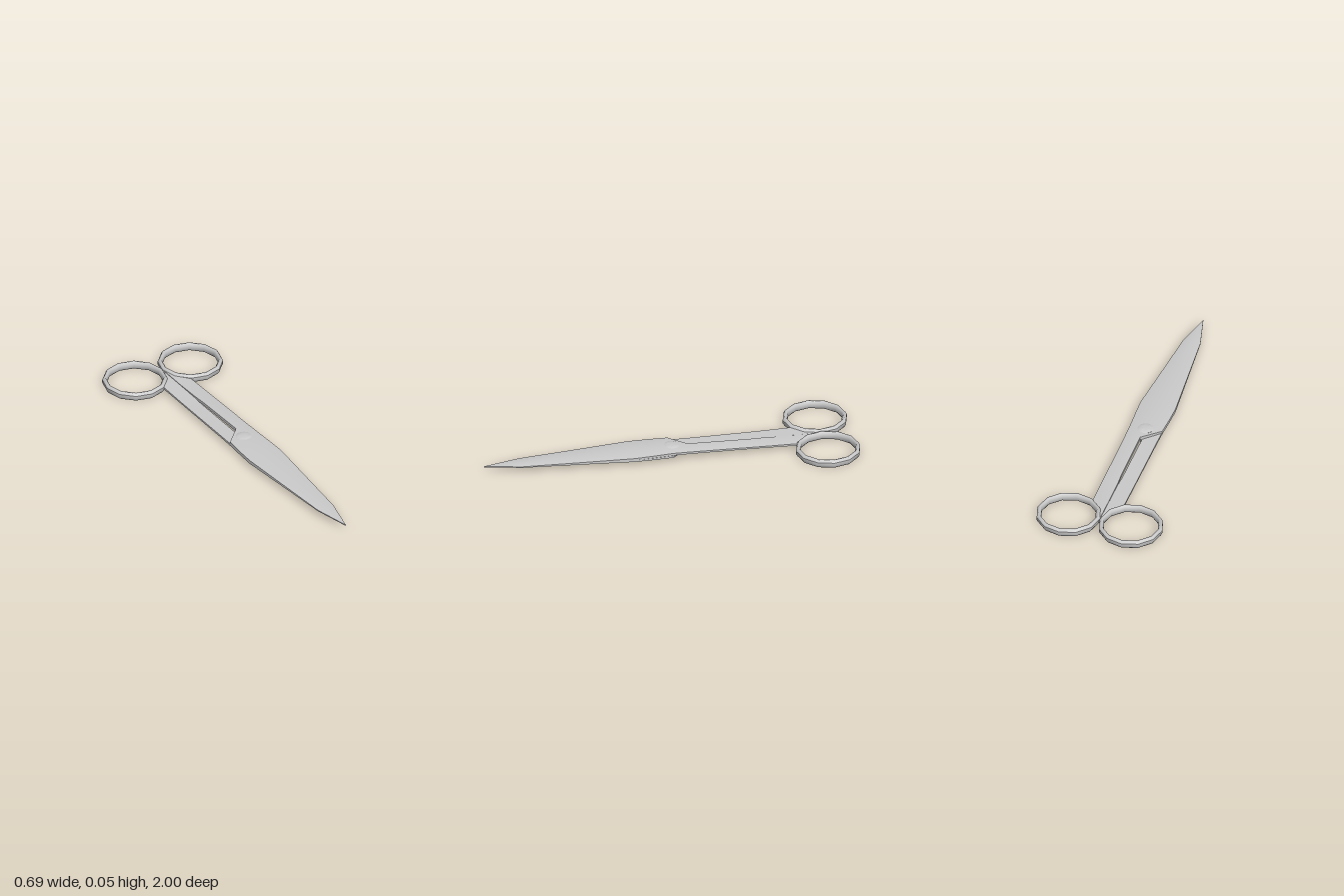
import * as THREE from 'three';
import { toCreasedNormals } from 'three/addons/utils/BufferGeometryUtils.js';

const material = new THREE.MeshStandardMaterial({ color: 0xcccccc });

// Cross-sections of one half from tip to ring:
// z, inner x, outer x, half width of the crown, mid height, base, edge height, crown height
const SECTIONS = [
  [1.0, -0.001, 0.001, 0.002, 0.027, 0, 0.002, 0.001],
  [0.8, -0.048, 0.048, 0.048, 0.028, 0, 0.003, 0.003],
  [0.5, -0.073, 0.073, 0.073, 0.029, 0, 0.006, 0.005],
  [0.2, -0.098, 0.098, 0.098, 0.030, 0, 0.010, 0.007],
  [0.1, -0.096, 0.094, 0.096, 0.030, 0, 0.011, 0.007],
  [-0.01, -0.090, 0.088, 0.092, 0.030, 0, 0.012, 0.007],
  [-0.1, 0.004, 0.087, 0.090, 0.029, 0, 0.011, 0.007],
  [-0.43, 0.004, 0.087, 0.090, 0.025, -0.003, 0.006, 0.006],
  [-0.5, 0.001, 0.087, 0.090, 0.024, -0.004, 0.005, 0.006],
  [-0.68, 0.001, 0.087, 0.090, 0.022, -0.008, 0.003, 0.005],
  [-0.7, 0.001, 0.073, 0.090, 0.022, -0.008, 0.004, 0.005],
  [-0.74, 0.001, 0.037, 0.090, 0.022, -0.008, 0.004, 0.005],
  [-0.78, 0.001, 0.021, 0.090, 0.022, -0.008, 0.004, 0.005],
  [-0.84, 0.001, 0.012, 0.090, 0.022, -0.008, 0.004, 0.005],
];

// Blade and shank in one loft; side = -1 gives the half turned over around z
function halfGeometry(side) {
  const across = 8;
  const n = across + 3;
  const positions = [];
  const index = [];
  for (const [z, xl, xr, w, mid, base, edge, crown] of SECTIONS) {
    const add = (x, h) => positions.push(side * x, mid + side * h, z);
    add(xl, base);
    add(xr, base);
    for (let i = 0; i <= across; i++) {
      const x = xr + (xl - xr) * i / across;
      add(x, edge + crown * Math.max(0, 1 - (x / w) ** 2));
    }
  }
  for (let s = 0; s < SECTIONS.length - 1; s++) {
    for (let j = 0; j < n; j++) {
      const a = s * n + j, b = s * n + (j + 1) % n;
      index.push(a, a + n, b, b, a + n, b + n);
    }
  }
  const last = (SECTIONS.length - 1) * n;
  for (let j = 1; j < n - 1; j++) {
    index.push(0, j, j + 1, last, last + j + 1, last + j);
  }
  const geometry = new THREE.BufferGeometry();
  geometry.setAttribute('position', new THREE.Float32BufferAttribute(positions, 3));
  geometry.setIndex(index);
  return toCreasedNormals(geometry, 0.5);
}

function mesh(name, geometry) {
  const m = new THREE.Mesh(geometry, material);
  m.name = name;
  return m;
}

// Finger ring: tall oval profile swept around twelve sides
function fingerRing(side) {
  const profile = [];
  for (let i = 0; i <= 8; i++) {
    const a = i / 8 * Math.PI * 2 + Math.PI / 8;
    profile.push(new THREE.Vector2(0.161 + 0.0135 * Math.cos(a), 0.0228 * Math.sin(a)));
  }
  const ring = mesh(side > 0 ? 'leftFingerRing' : 'rightFingerRing', new THREE.LatheGeometry(profile, 12));
  ring.position.set(side * 0.173, 0.021, -0.826);
  return ring;
}

export function createModel() {
  const model = new THREE.Group();
  model.name = 'scissors';

  for (const side of [1, -1]) {
    const half = new THREE.Group();
    half.name = side > 0 ? 'upperHalf' : 'lowerHalf';
    half.add(mesh('bladeAndShank', halfGeometry(side)), fingerRing(side));
    model.add(half);
  }

  // Pivot rivet, domed on both faces
  const profile = [[0, -0.023], [0.02, -0.0222], [0.034, -0.0203], [0.043, -0.017],
    [0.043, 0.017], [0.034, 0.0203], [0.02, 0.0222], [0, 0.023]]
    .map(([x, y]) => new THREE.Vector2(x, y));
  const rivet = mesh('pivotRivet', toCreasedNormals(new THREE.LatheGeometry(profile, 24), 0.6));
  rivet.position.set(0, 0.03, -0.015);
  model.add(rivet);

  return model;
}
